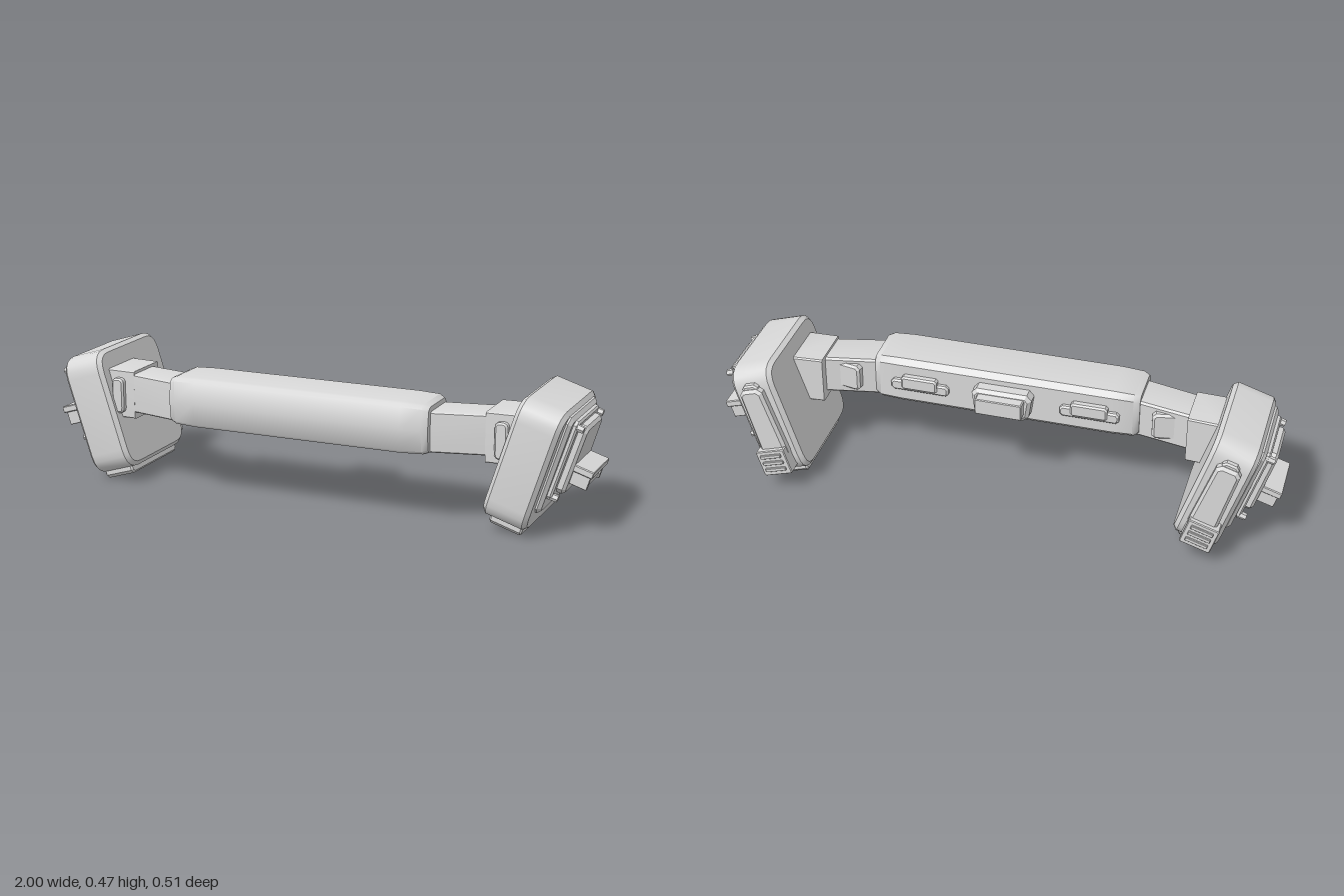
import * as THREE from 'three';
import { toCreasedNormals } from 'three/addons/utils/BufferGeometryUtils.js';

const grey = new THREE.MeshStandardMaterial({ color: 0xd8d8d8 });
grey.name = 'lightGrey';

function part(name, geometry) {
  const mesh = new THREE.Mesh(geometry, grey);
  mesh.name = name;
  return mesh;
}

// Four-sided outline with cut or rounded corners, wider at top or bottom as needed
function outline(wBottom, wTop, y0, y1, r, round) {
  const c = [[-wBottom / 2, y0], [wBottom / 2, y0], [wTop / 2, y1], [-wTop / 2, y1]]
    .map(p => new THREE.Vector2(...p));
  const toward = (a, b) => a.clone().add(b.clone().sub(a).setLength(r));
  const s = new THREE.Shape();
  c.forEach((p, i) => {
    const a = toward(p, c[(i + 3) % 4]), b = toward(p, c[(i + 1) % 4]);
    if (i) s.lineTo(a.x, a.y); else s.moveTo(a.x, a.y);
    if (round) s.quadraticCurveTo(p.x, p.y, b.x, b.y); else s.lineTo(b.x, b.y);
  });
  s.closePath();
  return s;
}

// Bevelled plate, thickness running from d0 to d1 along +z, then turned about y
function plate(name, { w, wTop = w, y0, y1, d0, d1, r = 0.012, bevel = 0.006, round = false, turn = 0, x = 0, z = 0 }) {
  const g = new THREE.ExtrudeGeometry(outline(w, wTop, y0, y1, r, round), {
    depth: d1 - d0 - 2 * bevel, bevelThickness: bevel, bevelSize: bevel,
    bevelOffset: -bevel, bevelSegments: 1, curveSegments: 5,
  });
  g.translate(0, 0, d0 + bevel).rotateY(turn).translate(x, 0, z);
  return part(name, toCreasedNormals(g, 0.45));
}

// Bar with a softly rounded front, through sections { x, y0, y1, z0, z1, c }
function loft(name, sections) {
  const pos = [], idx = [], n = 11;
  for (const { x, y0, y1, z0, z1, c } of sections) {
    const b = c * 0.6;
    for (const [y, z] of [
      [y1, z0 + b], [y1, z1 - c], [y1 - 0.12 * c, z1 - 0.6 * c], [y1 - 0.45 * c, z1 - 0.25 * c],
      [(y0 + y1) / 2, z1],
      [y0 + 0.45 * c, z1 - 0.25 * c], [y0 + 0.12 * c, z1 - 0.6 * c], [y0, z1 - c], [y0, z0 + b],
      [y0 + b, z0], [y1 - b, z0],
    ]) pos.push(x, y, z);
  }
  const last = (sections.length - 1) * n;
  for (let s = 0; s < last; s += n) {
    for (let k = 0; k < n; k++) {
      const a = s + k, b = s + (k + 1) % n;
      idx.push(a, b, a + n, b, b + n, a + n);
    }
  }
  for (let k = 1; k < n - 1; k++) idx.push(0, k + 1, k, last, last + k, last + k + 1);
  const g = new THREE.BufferGeometry();
  g.setAttribute('position', new THREE.Float32BufferAttribute(pos, 3));
  g.setIndex(idx);
  return part(name, toCreasedNormals(g, 0.75));
}

// Copy of a group reflected in x, with the corner order restored
function mirrored(group, name) {
  const out = new THREE.Group();
  out.name = name;
  group.updateMatrixWorld(true);
  const flip = new THREE.Matrix4().makeScale(-1, 1, 1);
  group.traverse(o => {
    if (!o.isMesh) return;
    const g = o.geometry.index ? o.geometry.toNonIndexed() : o.geometry.clone();
    g.applyMatrix4(o.matrixWorld).applyMatrix4(flip);
    for (const a of Object.values(g.attributes)) {
      const v = a.array, k = a.itemSize;
      for (let i = 0; i < v.length; i += 3 * k) {
        for (let j = 0; j < k; j++) [v[i + k + j], v[i + 2 * k + j]] = [v[i + 2 * k + j], v[i + k + j]];
      }
    }
    out.add(part(o.name, g));
  });
  return out;
}

// Tilted end pod; its outer face looks along local +x
function makePod() {
  const pod = new THREE.Group();
  pod.name = 'pod';
  const side = Math.PI / 2, back = Math.PI;
  pod.add(
    plate('podBody', { w: 0.42, y0: -0.218, y1: 0.213, d0: -0.092, d1: 0.066, r: 0.075, bevel: 0.014, round: true, turn: side }),
    plate('podFoot', { w: 0.325, y0: -0.242, y1: -0.15, d0: -0.065, d1: 0.052, r: 0.012, turn: side }),
    plate('outerPanel', { w: 0.316, y0: -0.15, y1: 0.2, d0: 0.04, d1: 0.084, r: 0.02, bevel: 0.012, turn: side }),
    plate('screwPlate', { w: 0.276, wTop: 0.25, y0: -0.095, y1: 0.188, d0: 0.06, d1: 0.1, r: 0.014, turn: side }),
    plate('raisedBlock', { w: 0.216, wTop: 0.19, y0: -0.072, y1: 0.172, d0: 0.08, d1: 0.128, r: 0.018, bevel: 0.01, turn: side }),
    plate('ledge', { w: 0.186, y0: 0.016, y1: 0.04, d0: 0.1, d1: 0.195, r: 0.003, bevel: 0.002, turn: side }),
    plate('ledgeSupport', { w: 0.156, y0: -0.028, y1: 0.018, d0: 0.1, d1: 0.183, r: 0.003, bevel: 0.002, turn: side }),
  );
  // End cheeks of the ledge support
  for (const s of [-1, 1]) {
    pod.add(plate('ledgeCheek', { w: 0.016, y0: -0.032, y1: 0.018, d0: 0.1, d1: 0.188, r: 0.002, bevel: 0.001, turn: side, z: s * 0.075 }));
  }
  // Hexagonal corner screws
  for (const [y, z] of [[0.168, 0.112], [0.168, -0.115], [-0.082, 0.12], [-0.082, -0.125]]) {
    const g = new THREE.CylinderGeometry(0.012, 0.014, 0.03, 6).rotateZ(-side).translate(0.104, y, z);
    pod.add(part('screw', toCreasedNormals(g, 0.4)));
  }
  // Rear cover and slotted latch
  pod.add(
    plate('rearCover', { w: 0.1, wTop: 0.085, y0: -0.13, y1: 0.152, d0: 0.19, d1: 0.24, r: 0.016, bevel: 0.01, turn: back, x: -0.012 }),
    plate('rearCoverTab', { w: 0.06, y0: 0.12, y1: 0.166, d0: 0.19, d1: 0.228, turn: back, x: -0.012 }),
    plate('latch', { w: 0.11, y0: -0.185, y1: -0.085, d0: 0.19, d1: 0.257, r: 0.004, bevel: 0.003, turn: back, x: -0.005 }),
  );
  for (let i = 0; i < 3; i++) {
    const y = -0.167 + i * 0.027;
    pod.add(plate('latchRib', { w: 0.08, y0: y, y1: y + 0.014, d0: 0.24, d1: 0.264, r: 0.002, bevel: 0.002, turn: back, x: -0.005 }));
  }
  pod.position.set(0.801, 0.248, 0.01);
  pod.rotation.z = -0.305;
  return pod;
}

// Everything on the left: arm, mount, pod and rear rail
function makeSide() {
  const g = new THREE.Group();
  g.name = 'leftSide';
  const back = Math.PI;
  g.add(
    loft('arm', [
      { x: 0.44, y0: 0.262, y1: 0.402, z0: 0.075, z1: 0.225, c: 0.012 },
      { x: 0.67, y0: 0.262, y1: 0.402, z0: 0.03, z1: 0.172, c: 0.012 },
    ]),
    loft('mountBlock', [
      { x: 0.652, y0: 0.24, y1: 0.412, z0: 0, z1: 0.176, c: 0.008 },
      { x: 0.76, y0: 0.24, y1: 0.412, z0: -0.008, z1: 0.172, c: 0.008 },
    ]),
    plate('mountPad', { w: 0.045, y0: 0.26, y1: 0.386, d0: 0, d1: 0.035, r: 0.02, bevel: 0.006, round: true, x: 0.71, z: 0.16 }),
    plate('armPad', { w: 0.09, y0: 0.285, y1: 0.385, d0: 0, d1: 0.035, r: 0.012, bevel: 0.008, turn: back - 0.19, x: 0.565, z: 0.072 }),
    plate('railBase', { w: 0.21, y0: 0.318, y1: 0.358, d0: 0, d1: 0.03, r: 0.01, turn: back, x: 0.305, z: 0.063 }),
    plate('railBump', { w: 0.13, y0: 0.328, y1: 0.378, d0: 0, d1: 0.037, r: 0.008, turn: back, x: 0.305, z: 0.063 }),
    makePod(),
  );
  return g;
}

export function createModel() {
  const model = new THREE.Group();
  model.name = 'handleBarWithPods';

  // Central grip, slimmer at both ends
  const end = { y0: 0.264, y1: 0.419, z0: 0.065, z1: 0.24, c: 0.028 };
  const near = { y0: 0.257, y1: 0.427, z0: 0.053, z1: 0.249, c: 0.03 };
  const mid = { y0: 0.254, y1: 0.43, z0: 0.05, z1: 0.254, c: 0.032 };
  model.add(loft('grip', [
    { x: -0.476, ...end }, { x: -0.455, ...near }, { x: -0.38, ...mid },
    { x: 0.38, ...mid }, { x: 0.455, ...near }, { x: 0.476, ...end },
  ]));

  // Centre buckle on the back of the grip
  const back = Math.PI;
  model.add(
    plate('buckleBase', { w: 0.19, wTop: 0.22, y0: 0.285, y1: 0.392, d0: 0, d1: 0.06, r: 0.02, bevel: 0.012, turn: back, z: 0.062 }),
    plate('buckleBlock', { w: 0.166, y0: 0.318, y1: 0.378, d0: 0, d1: 0.097, r: 0.004, bevel: 0.003, turn: back, z: 0.062 }),
  );

  const left = makeSide();
  model.add(left, mirrored(left, 'rightSide'));
  return model;
}
